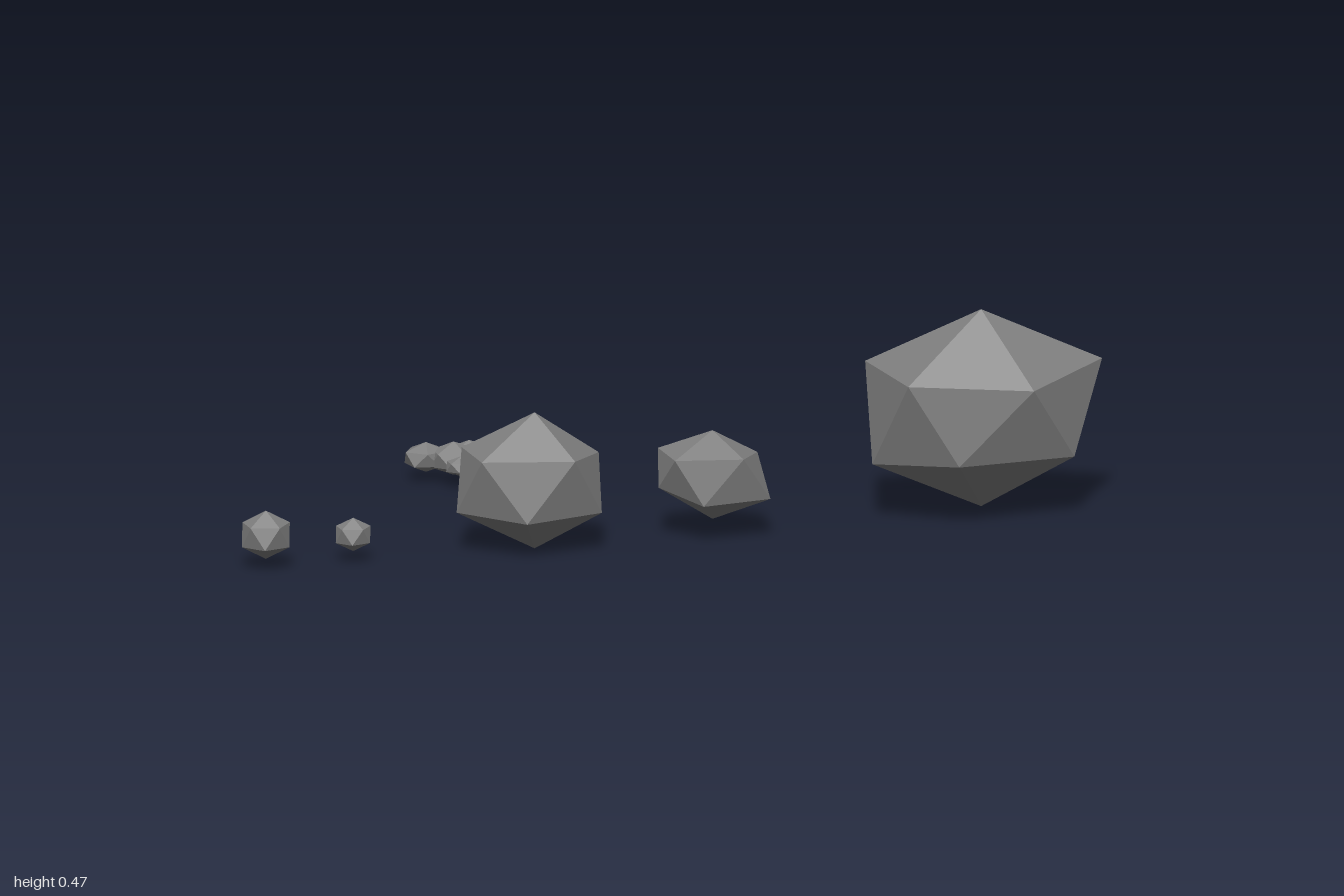
import * as THREE from 'three';

const stone = new THREE.MeshStandardMaterial({ color: 0x808080 });
stone.name = 'stoneGrey';

// Twenty-sided rock from a top point, two five-point rings and a bottom point
function rock(name, top, upper, lower, bottom) {
  const pos = [];
  const face = (...pts) => pts.forEach((p) => pos.push(...p));
  for (let k = 0; k < 5; k++) {
    const n = (k + 1) % 5;
    face(top, upper[n], upper[k]);
    face(upper[k], upper[n], lower[k]);
    face(lower[n], lower[k], upper[n]);
    face(bottom, lower[k], lower[n]);
  }
  const geo = new THREE.BufferGeometry();
  geo.setAttribute('position', new THREE.Float32BufferAttribute(pos, 3));
  geo.computeVertexNormals(); // unshared corners keep the facets flat
  const mesh = new THREE.Mesh(geo, stone);
  mesh.name = name;
  return mesh;
}

// Evenly shaped rock: centre, half sizes and turn about y
function evenRock(name, [x, y, z], [rx, ry, rz], turn = 0) {
  const h = 1 / Math.sqrt(5);
  const ring = (start, side) => Array.from({ length: 5 }, (_, k) => {
    const a = turn + start + (k * Math.PI * 2) / 5;
    return [x + rx * 2 * h * Math.cos(a), y + side * h * ry, z + rz * 2 * h * Math.sin(a)];
  });
  return rock(name, [x, y + ry, z], ring(0, 1), ring(Math.PI / 5, -1), [x, y - ry, z]);
}

export function createModel() {
  const group = new THREE.Group();
  group.name = 'rocks';

  // Large boulder
  group.add(rock('largeBoulder', [0.715, 0.47, 0.268],
    [[0.995, 0.338, 0.268], [0.786, 0.317, 0.435], [0.51, 0.335, 0.385], [0.487, 0.338, 0.137], [0.786, 0.32, 0.095]],
    [[0.9, 0.144, 0.368], [0.62, 0.15, 0.412], [0.463, 0.135, 0.268], [0.62, 0.143, 0.112], [0.9, 0.144, 0.169]],
    [0.715, 0.021, 0.268]));

  // Medium boulder
  group.add(rock('mediumBoulder', [-0.32, 0.312, 0.272],
    [[-0.171, 0.21, 0.27], [-0.265, 0.225, 0.398], [-0.465, 0.225, 0.345], [-0.465, 0.225, 0.195], [-0.27, 0.225, 0.165]],
    [[-0.19, 0.093, 0.355], [-0.374, 0.088, 0.392], [-0.5, 0.096, 0.27], [-0.374, 0.09, 0.163], [-0.19, 0.093, 0.195]],
    [-0.32, 0.002, 0.272]));

  // Small boulder
  group.add(rock('smallBoulder', [0.093, 0.24, 0.268],
    [[0.198, 0.182, 0.265], [0.135, 0.193, 0.366], [-0.014, 0.193, 0.334], [-0.014, 0.193, 0.206], [0.128, 0.19, 0.174]],
    [[0.205, 0.092, 0.34], [0.045, 0.09, 0.358], [-0.032, 0.118, 0.268], [0.045, 0.09, 0.182], [0.208, 0.092, 0.195]],
    [0.093, 0.038, 0.268]));

  // Loose stones
  group.add(evenRock('stone', [-0.94, 0.077, 0.265], [0.062, 0.055, 0.058]));
  group.add(evenRock('pebble', [-0.738, 0.063, 0.265], [0.045, 0.038, 0.041]));

  // Flattened stones gathered in a pile
  const pile = new THREE.Group();
  pile.name = 'stonePile';
  pile.add(evenRock('pileStoneMiddle', [-0.31, 0.055, -0.367], [0.06, 0.038, 0.046]));
  pile.add(evenRock('pileStoneRight', [-0.365, 0.055, -0.395], [0.055, 0.034, 0.048], 0.5));
  pile.add(evenRock('pileStoneLeft', [-0.268, 0.055, -0.386], [0.055, 0.034, 0.04]));
  pile.add(evenRock('pileStoneFront', [-0.31, 0.05, -0.309], [0.039, 0.023, 0.029]));
  group.add(pile);

  return group;
}
